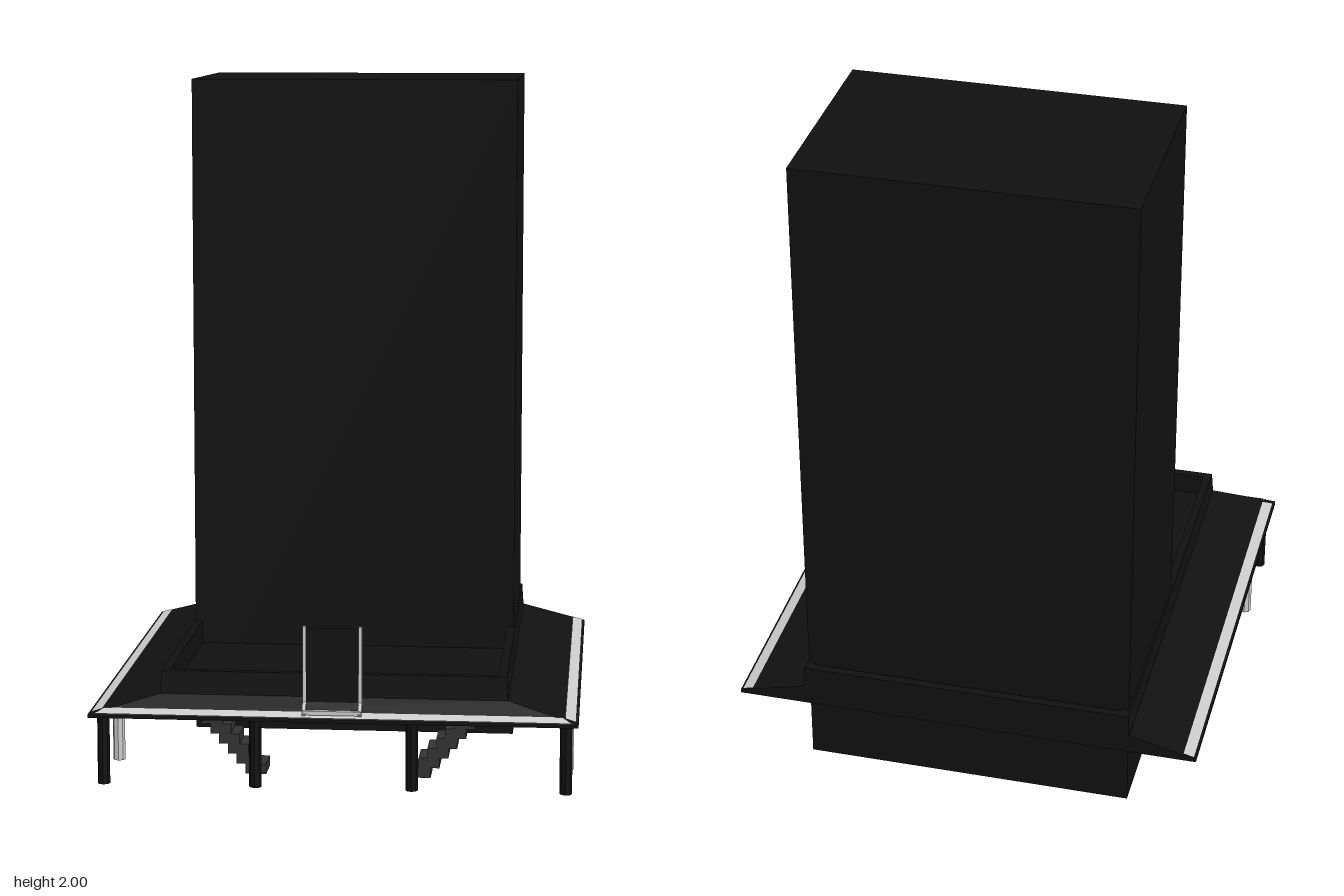
import * as THREE from 'three';

const mat = (color) => new THREE.MeshStandardMaterial({ color, flatShading: true, side: THREE.DoubleSide });

export function createModel() {
  const model = new THREE.Group();
  const black = mat(0x111111), dark = mat(0x333333), grey = mat(0xcccccc);

  const add = (name, geometry, material, x = 0, y = 0, z = 0) => {
    const mesh = new THREE.Mesh(geometry, material);
    mesh.name = name;
    mesh.position.set(x, y, z);
    model.add(mesh);
    return mesh;
  };

  // Flat-shaded surface from four-cornered faces
  const quads = (faces) => {
    const pos = [];
    for (const [a, b, c, d] of faces) pos.push(...a, ...b, ...c, ...a, ...c, ...d);
    const g = new THREE.BufferGeometry();
    g.setAttribute('position', new THREE.Float32BufferAttribute(pos, 3));
    g.computeVertexNormals();
    return g;
  };

  // Tower block
  add('tower', new THREE.BoxGeometry(0.98, 2, 0.63), black, 0, 1, -0.345);

  // Podium roof: rectangular rings [half width, y, front z, back z] joined in order
  const rings = [
    [0.7, 0.207, 0.695, -0.695], [0.7, 0.217, 0.695, -0.695],
    [0.5, 0.268, 0.635, -0.695], [0.495, 0.335, 0.63, -0.695],
    [0.47, 0.335, 0.605, -0.67], [0.47, 0.268, 0.605, -0.67],
  ].map(([w, y, f, b]) => [[-w, y, f], [w, y, f], [w, y, b], [-w, y, b]]);
  const faces = [[...rings[0]].reverse(), rings[rings.length - 1]];
  for (let r = 0; r < rings.length - 1; r++) {
    for (let i = 0; i < 4; i++) {
      const j = (i + 1) % 4;
      faces.push([rings[r][i], rings[r][j], rings[r + 1][j], rings[r + 1][i]]);
    }
  }
  add('podiumRoof', quads(faces), black);

  // Pale strips lying along the sloping eaves
  const edge = (x) => 0.219 + (0.7 - x) * 0.255;
  const a = 0.693, b = 0.662;
  add('leftEaveStrip', quads([[[a, edge(a), 0.675], [a, edge(a), -0.69], [b, edge(b), -0.69], [b, edge(b), 0.665]]]), grey);
  add('rightEaveStrip', quads([[[-a, edge(a), -0.69], [-a, edge(a), 0.675], [-b, edge(b), 0.665], [-b, edge(b), -0.69]]]), grey);
  add('frontEaveStrip', quads([[[-0.68, 0.221, 0.693], [0.68, 0.221, 0.693], [0.655, 0.234, 0.677], [-0.655, 0.234, 0.677]]]), grey);

  // Upright entrance panel with pale frame
  const side = new THREE.Shape([[0.68, 0.225], [0.665, 0.26], [0.66, 0.475], [0.635, 0.45], [0.635, 0.25]]
    .map(([z, y]) => new THREE.Vector2(-z, y)));
  const panel = new THREE.ExtrudeGeometry(side, { depth: 0.15, bevelEnabled: false });
  panel.rotateY(Math.PI / 2);
  add('entrancePanel', panel, black, -0.075);
  for (const s of [-1, 1]) {
    add('panelPost', new THREE.BoxGeometry(0.01, 0.225, 0.012), grey, s * 0.08, 0.367, 0.661);
    const foot = add('panelFoot', new THREE.BoxGeometry(0.01, 0.045, 0.012), grey, s * 0.08, 0.243, 0.675);
    foot.rotation.x = -0.75;
  }
  add('panelSill', new THREE.BoxGeometry(0.165, 0.012, 0.015), grey, 0, 0.234, 0.685);

  // Columns: dark front row and paler pair behind
  const column = new THREE.CylinderGeometry(0.018, 0.018, 0.21, 8);
  for (const x of [-0.665, -0.225, 0.225, 0.665]) add('frontColumn', column, black, x, 0.105, 0.635);
  for (const x of [-0.665, 0.665]) add('rearColumn', column, grey, x, 0.105, 0.37);

  // Stairs rising outward under the podium, stepped above and below
  const steps = 7, run = 0.18 / steps, rise = 0.207 / steps;
  const upper = [], lower = [];
  for (let i = 0; i < steps; i++) {
    const x = 0.21 + i * run, y = i * rise;
    upper.push([x, y], [x, y + rise]);
    lower.unshift([x + 0.035 + run, y + rise], [x + 0.035 + run, y]);
  }
  for (const s of [-1, 1]) {
    const profile = new THREE.Shape([...upper, ...lower].map(([x, y]) => new THREE.Vector2(s * x, y)));
    const flight = new THREE.ExtrudeGeometry(profile, { depth: 0.1, bevelEnabled: false });
    add(s > 0 ? 'leftStairs' : 'rightStairs', flight, dark, 0, 0, 0.4);
  }

  return model;
}
